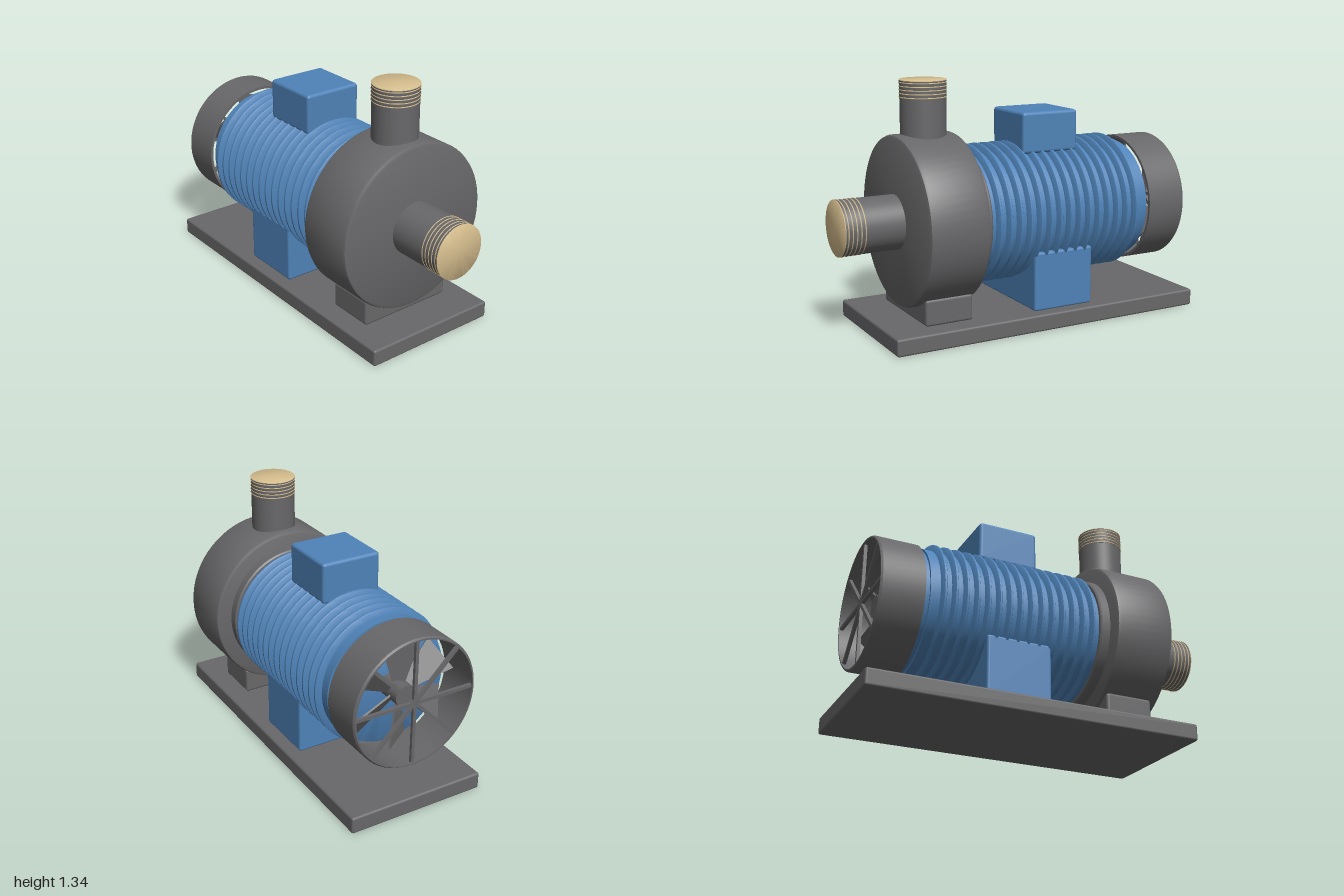
import * as THREE from 'three';
import { toCreasedNormals } from 'three/addons/utils/BufferGeometryUtils.js';
import { RoundedBoxGeometry } from 'three/addons/geometries/RoundedBoxGeometry.js';

const AXIS_Y = 0.6; // height of the shaft line
const PORT_X = 0.5; // middle of the pump casing

export function createModel() {
  const model = new THREE.Group();
  model.name = 'motorPump';

  const material = (name, color) => {
    const m = new THREE.MeshStandardMaterial({ color });
    m.name = name;
    return m;
  };
  const grey = material('castGrey', 0x68686a);
  const blue = material('motorBlue', 0x4f83b8);
  const tan = material('brassTan', 0xd6be8e);

  const add = (parent, name, geometry, mat) => {
    const mesh = new THREE.Mesh(geometry, mat);
    mesh.name = name;
    parent.add(mesh);
    return mesh;
  };

  // Box given by its limits
  const block = (name, x0, x1, y0, y1, halfZ, radius, mat) => {
    const geometry = new RoundedBoxGeometry(x1 - x0, y1 - y0, halfZ * 2, 3, radius);
    return add(model, name, geometry, mat).position.set((x0 + x1) / 2, (y0 + y1) / 2, 0);
  };

  // Turned part from [distance along axis, radius] pairs
  const turned = (profile, segments = 64) =>
    toCreasedNormals(
      new THREE.LatheGeometry(profile.map(([d, r]) => new THREE.Vector2(r, d)), segments), 0.6);

  // Turned part lying along x on the shaft line
  const shaftPart = (name, profile, mat) => {
    const mesh = add(model, name, turned(profile).rotateZ(-Math.PI / 2), mat);
    mesh.position.y = AXIS_Y;
    return mesh;
  };

  // Base and supports
  block('basePlate', -1, 0.835, 0, 0.093, 0.39, 0.012, grey);
  block('motorFoot', -0.355, 0.005, 0.09, 0.415, 0.32, 0.014, blue);
  block('pumpFoot', 0.355, 0.625, 0.09, 0.235, 0.275, 0.016, grey);
  block('terminalBox', -0.345, -0.005, 0.925, 1.15, 0.17, 0.018, blue);

  // Motor body with cooling fins
  const body = [[-0.71, 0], [-0.71, 0.325], [-0.705, 0.333], [-0.68, 0.333], [-0.68, 0.345]];
  for (let i = 0; i < 15; i++) {
    const x = -0.61 + i * 0.0605;
    body.push([x - 0.017, 0.345], [x - 0.009, 0.372], [x - 0.005, 0.378],
      [x + 0.005, 0.378], [x + 0.009, 0.372], [x + 0.017, 0.345]);
  }
  body.push([0.285, 0.345], [0.285, 0]);
  shaftPart('motorBody', body, blue);

  // Pump casing and its mounting flange
  shaftPart('mountingFlange',
    [[0.28, 0], [0.28, 0.36], [0.288, 0.368], [0.35, 0.368], [0.35, 0]], grey);
  shaftPart('pumpCasing',
    [[0.335, 0], [0.335, 0.437], [0.341, 0.451], [0.355, 0.457], [0.652, 0.457],
      [0.666, 0.451], [0.672, 0.437], [0.672, 0]], grey);

  // Pipe along local y with a threaded, capped end
  const pipe = (name, length, radius, threadLength) => {
    const group = new THREE.Group();
    group.name = name;
    add(group, name + 'Tube',
      turned([[0, radius], [length - threadLength, radius],
        [length - threadLength, radius + 0.001], [length - 0.004, radius + 0.001], [length - 0.004, 0]]), grey);
    add(group, name + 'Cap',
      turned([[length - 0.005, 0], [length - 0.005, radius + 0.003],
        [length - 0.002, radius + 0.003], [length, radius], [length, 0]]), tan);
    for (let i = 0; i < 5; i++) {
      const ring = new THREE.TorusGeometry(radius, 0.0035, 6, 48).rotateX(Math.PI / 2);
      add(group, name + 'Thread', ring, tan).position.y = length - threadLength + 0.004 + i * threadLength / 5;
    }
    model.add(group);
    return group;
  };
  pipe('outletPipe', 0.34, 0.122, 0.095).position.set(PORT_X, 1, 0);
  const inlet = pipe('inletPipe', 0.35, 0.146, 0.115);
  inlet.rotation.z = -Math.PI / 2;
  inlet.position.set(0.65, AXIS_Y, 0);

  // Open fan cowl
  shaftPart('fanCowl',
    [[-0.945, 0.344], [-0.945, 0.352], [-0.935, 0.359], [-0.71, 0.359],
      [-0.71, 0.344], [-0.945, 0.344]], grey);

  // Guard bars across the cowl opening
  const guard = new THREE.Group();
  guard.name = 'fanGuard';
  guard.position.set(-0.93, AXIS_Y, 0);
  for (let i = 0; i < 4; i++) {
    add(guard, 'guardBar', new THREE.BoxGeometry(0.018, 0.7, 0.018), grey).rotation.x = i * Math.PI / 4;
  }
  model.add(guard);

  // Fan with pitched blades
  shaftPart('fanHub', [[-0.86, 0], [-0.86, 0.06], [-0.71, 0.06], [-0.71, 0]], grey);
  const outline = new THREE.Shape();
  outline.moveTo(-0.03, 0.04);
  outline.lineTo(0.03, 0.04);
  outline.lineTo(0.1, 0.29);
  outline.lineTo(-0.1, 0.29);
  const blade = new THREE.ExtrudeGeometry(outline, { depth: 0.01, bevelEnabled: false })
    .translate(0, 0, -0.005).rotateY(Math.PI / 2 - 0.6);
  const fan = new THREE.Group();
  fan.name = 'fan';
  fan.position.set(-0.79, AXIS_Y, 0);
  for (let i = 0; i < 6; i++) {
    add(fan, 'fanBlade', blade, grey).rotation.x = i * Math.PI / 3;
  }
  model.add(fan);

  return model;
}
